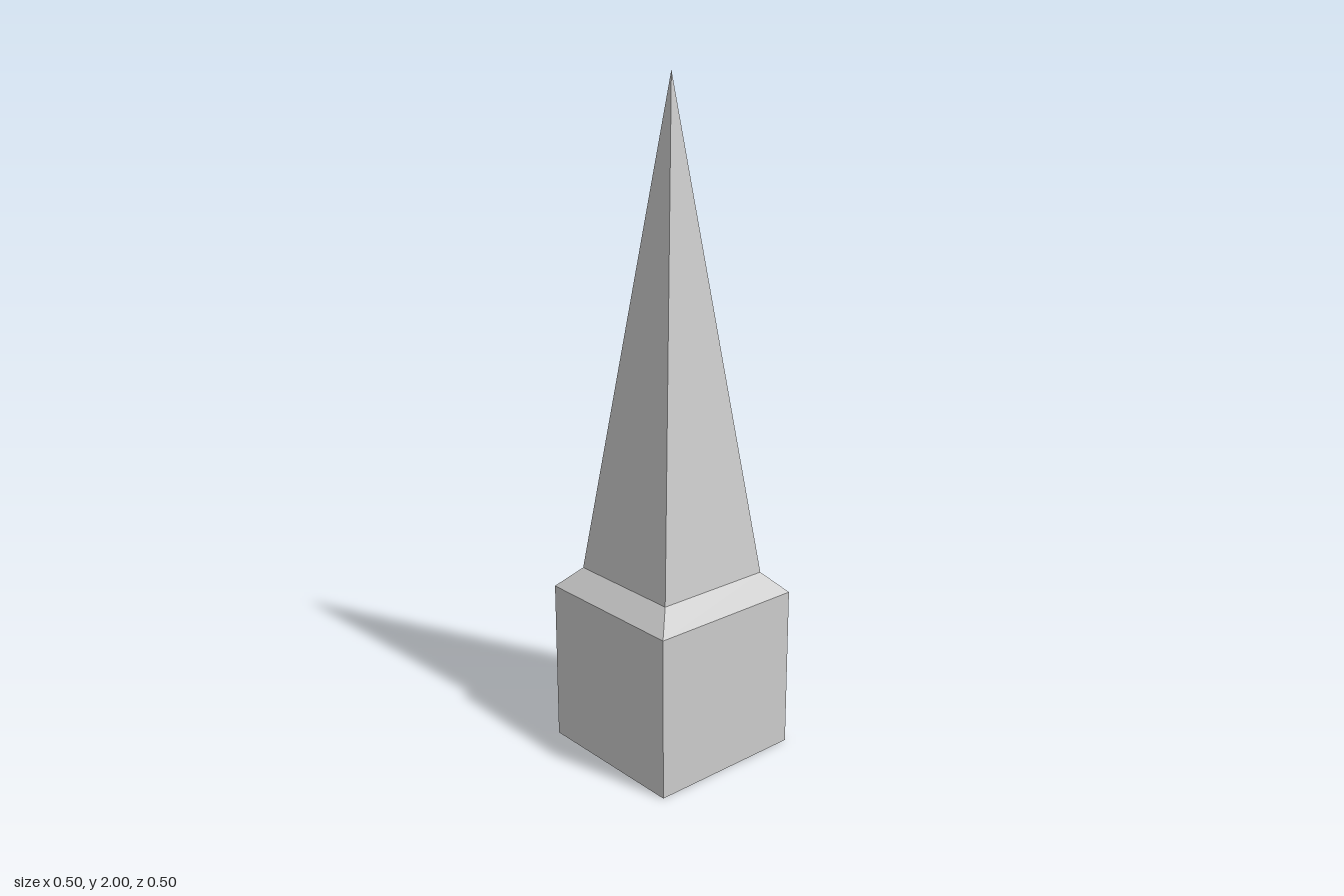
import * as THREE from 'three';

const HALF = 0.2475;   // half width of the block
const NECK = 0.1865;   // half width where the spire starts
const BLOCK_TOP = 0.495;
const NECK_Y = 0.557;
const TIP_Y = 2;

export function createModel() {
  const group = new THREE.Group();
  const material = new THREE.MeshStandardMaterial({ color: 0xcccccc, flatShading: true });

  // Four-sided open frustum between two heights, sides square to the axes
  const squareFrustum = (name, bottomHalf, topHalf, y0, y1) => {
    const geometry = new THREE.CylinderGeometry(
      topHalf * Math.SQRT2, bottomHalf * Math.SQRT2, y1 - y0, 4, 1, true);
    geometry.rotateY(Math.PI / 4);
    geometry.translate(0, (y0 + y1) / 2, 0);
    const mesh = new THREE.Mesh(geometry, material);
    mesh.name = name;
    group.add(mesh);
  };

  // Block with its underside, open at the top where the bevel joins
  squareFrustum('baseBlock', HALF, HALF, 0, BLOCK_TOP);
  const underside = new THREE.Mesh(new THREE.PlaneGeometry(2 * HALF, 2 * HALF), material);
  underside.rotation.x = Math.PI / 2;
  underside.name = 'baseUnderside';
  group.add(underside);

  // Sloped shoulder and tall pointed spire
  squareFrustum('bevelledShoulder', HALF, NECK, BLOCK_TOP, NECK_Y);
  squareFrustum('spire', NECK, 0, NECK_Y, TIP_Y);

  return group;
}
